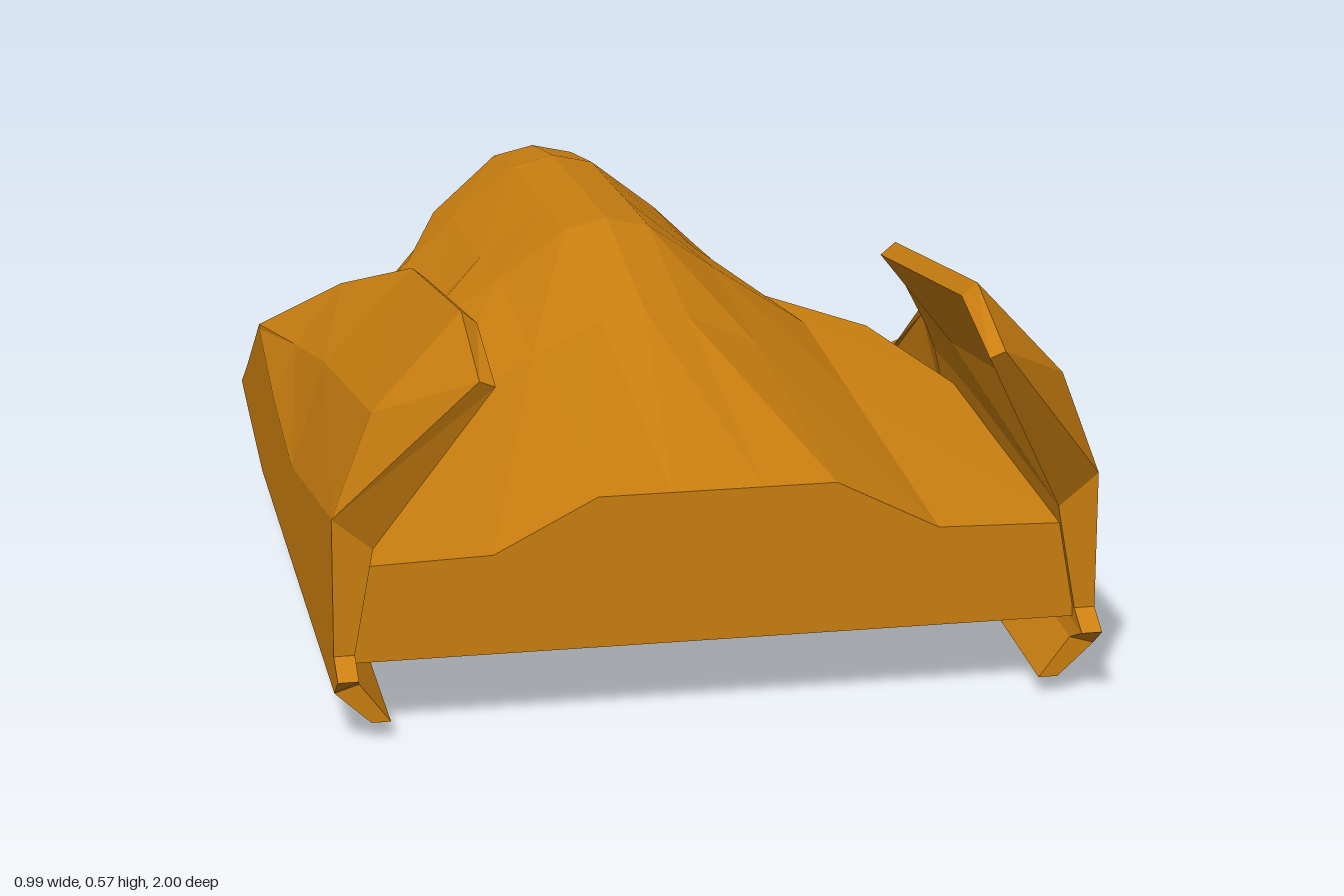
import * as THREE from 'three';

const material = new THREE.MeshStandardMaterial({ color: 0xcc8010, flatShading: true, side: THREE.DoubleSide });

// Skin a series of closed rings (clockwise seen from +z, ordered along +z) and cap both ends.
function loft(rings) {
  const pos = [];
  const n = rings[0].length;
  const tri = (...corners) => {
    const [a, b, c] = corners.map((p) => new THREE.Vector3(...p));
    if (b.sub(a).cross(c.sub(a)).length() < 1e-7) return;
    corners.forEach((p) => pos.push(...p));
  };
  for (let i = 0; i < rings.length - 1; i++) {
    for (let j = 0; j < n; j++) {
      const k = (j + 1) % n;
      const a = rings[i][j], b = rings[i][k], c = rings[i + 1][k], d = rings[i + 1][j];
      if (j < n / 2) { tri(a, d, c); tri(a, c, b); } else { tri(a, d, b); tri(b, d, c); }
    }
  }
  // caps join each point to its partner on the opposite side of the ring
  const first = rings[0], last = rings[rings.length - 1];
  for (let j = 0; j < n / 2 - 1; j++) {
    const q = n - 1 - j;
    tri(last[j], last[q], last[q - 1]);
    tri(last[j], last[q - 1], last[j + 1]);
    tri(first[j], first[q - 1], first[q]);
    tri(first[j], first[j + 1], first[q - 1]);
  }
  const geometry = new THREE.BufferGeometry();
  geometry.setAttribute('position', new THREE.Float32BufferAttribute(pos, 3));
  geometry.computeVertexNormals();
  return geometry;
}

const mirrorRing = (ring) => ring.map(([x, y, z]) => [-x, y, z]).reverse();

function part(name, rings) {
  const mesh = new THREE.Mesh(loft(rings), material);
  mesh.name = name;
  return mesh;
}

// Hull section: right half from crown to keel, then its mirror image.
// The root point runs along the inside of the wing and carries it.
function hullRing(z, topY, shoulderY, sideY, edgeX, edgeY, rootX, rootY, chineX, chineY, bellyY, keelY) {
  const ridgeY = Math.max(shoulderY, topY - 0.014);
  const right = [
    [0, topY, z], [0.06, ridgeY, z], [0.155, shoulderY, z],
    [Math.min(0.29, 0.85 * edgeX), sideY, z],
    [edgeX, edgeY, z], [rootX, rootY, z], [chineX, chineY, z],
    [Math.min(0.21, 0.75 * edgeX), bellyY, z], [0.07, keelY, z], [0, keelY, z],
  ];
  return [...right, ...mirrorRing(right)];
}

function createHull() {
  const nose = Array(20).fill([0, 0.06, -1]);
  return part('hull', [
    nose,
    hullRing(-0.64, 0.335, 0.235, 0.185, 0.21, 0.145, 0.207, 0.11, 0.2, 0.078, 0.055, 0.025),
    hullRing(-0.45, 0.375, 0.285, 0.22, 0.26, 0.18, 0.258, 0.13, 0.25, 0.09, 0.06, 0.022),
    hullRing(-0.15, 0.405, 0.318, 0.25, 0.26, 0.225, 0.26, 0.16, 0.26, 0.1, 0.065, 0.018),
    hullRing(0.02, 0.42, 0.338, 0.246, 0.38, 0.237, 0.42, 0.12, 0.38, 0.11, 0.065, 0),
    hullRing(0.32, 0.382, 0.324, 0.243, 0.455, 0.235, 0.47, 0.12, 0.43, 0.115, 0.065, 0),
    hullRing(0.84, 0.31, 0.31, 0.24, 0.47, 0.235, 0.47, 0.105, 0.37, 0.175, 0.17, 0.11),
  ]);
}

// Wing section: outer skin from top down to the hook, then the inner skin back up.
// drop raises the hook where the wing tapers towards its front; inFoldX/Y is the inner fillet.
function wingRing(z, topX, topY, bendX, bendY, foldY, inFoldX, inFoldY, drop = 0) {
  const hookY = 0.026 + drop;
  return [
    [topX, topY, z], [bendX, bendY, z], [0.497, foldY, z],
    [0.497, 0.12, z], [0.497, 0.1, z], [0.497, 0.07 + drop / 2, z], [0.45, hookY, z],
    [0.425, hookY, z], [0.465, 0.08 + drop / 3, z], [0.47, 0.1, z], [0.47, 0.12, z],
    [inFoldX, inFoldY, z], [bendX - 0.038, bendY - 0.024, z], [topX - 0.02, topY - 0.017, z],
  ];
}

function wingRings() {
  const front = Array.from({ length: 14 }, (_, i) => [i < 7 ? 0.497 : 0.475, 0.115, -0.245]);
  const rings = [
    front,
    wingRing(-0.15, 0.497, 0.175, 0.497, 0.165, 0.15, 0.465, 0.14, 0.055),
    wingRing(0.02, 0.497, 0.29, 0.497, 0.283, 0.275, 0.462, 0.25),
    wingRing(0.19, 0.4, 0.4, 0.465, 0.315, 0.24, 0.44, 0.255),
    wingRing(0.4, 0.33, 0.485, 0.45, 0.36, 0.215, 0.44, 0.265),
    wingRing(0.85, 0.33, 0.572, 0.445, 0.445, 0.305, 0.445, 0.262),
  ];
  // pointed upper tip and small spur at the rear end
  const rear = rings[5].map((p) => [...p]);
  for (const i of [0, 1]) {
    rear[i] = [0.33, 0.53, 1];
    rear[13 - i] = [0.31, 0.522, 1];
  }
  rear[4][2] = rear[9][2] = 0.89;
  return [...rings, rear];
}

export function createModel() {
  const group = new THREE.Group();
  group.name = 'spacecraft';
  const rings = wingRings();
  group.add(createHull(), part('leftWing', rings), part('rightWing', rings.map(mirrorRing)));
  return group;
}
